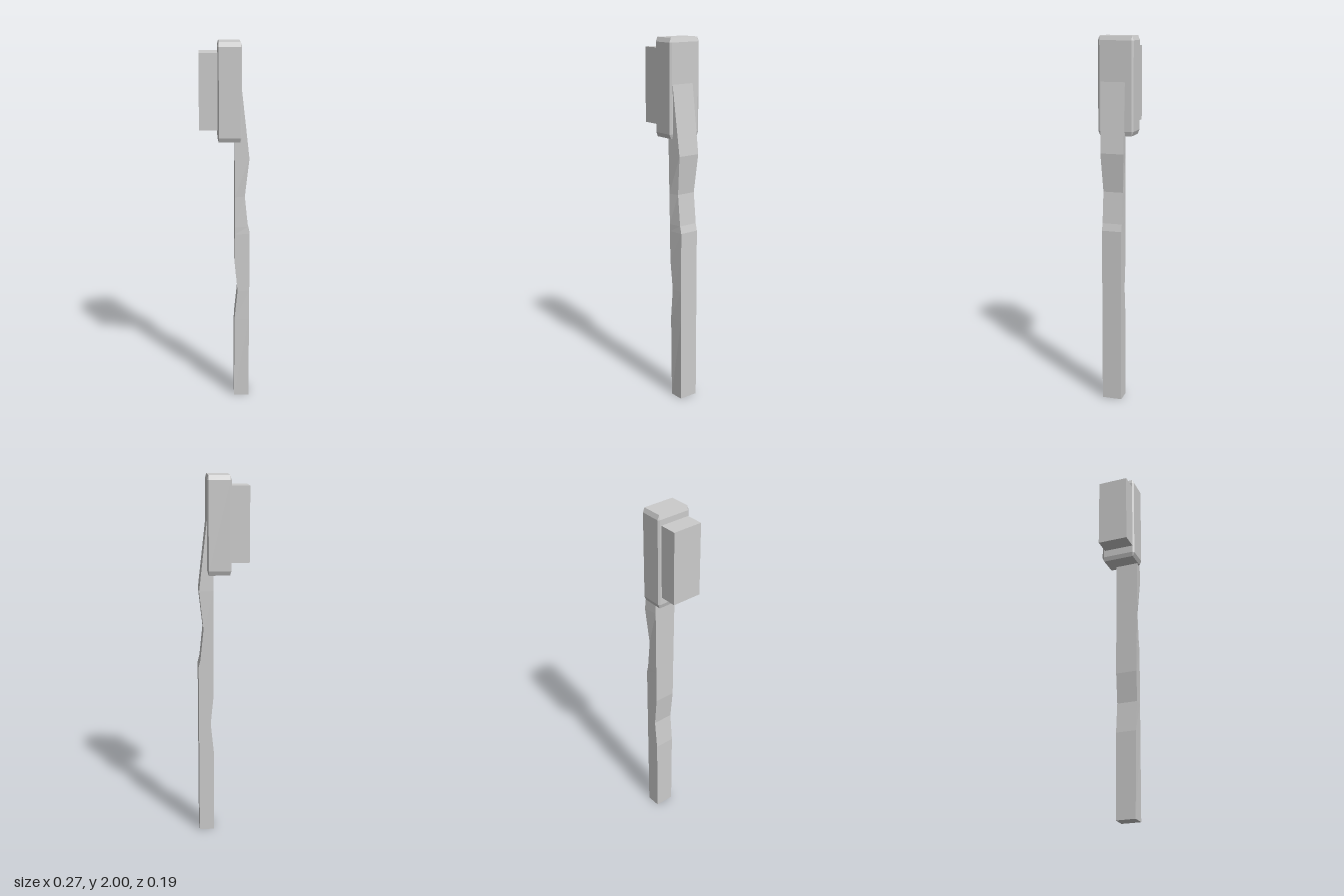
import * as THREE from 'three';
import { ConvexGeometry } from 'three/addons/geometries/ConvexGeometry.js';

const material = new THREE.MeshStandardMaterial({ color: 0xcccccc, flatShading: true });

function addPart(group, name, geometry, position = [0, 0, 0]) {
  const mesh = new THREE.Mesh(geometry, material);
  mesh.name = name;
  mesh.position.set(...position);
  group.add(mesh);
}

// Box with all edges cut; c is the cut along each axis
function chamferedBox(size, c) {
  const [x, y, z] = size.map((s) => s / 2);
  const points = [];
  for (const i of [-1, 1]) for (const j of [-1, 1]) for (const k of [-1, 1]) {
    points.push(
      new THREE.Vector3(i * x, j * (y - c[1]), k * (z - c[2])),
      new THREE.Vector3(i * (x - c[0]), j * y, k * (z - c[2])),
      new THREE.Vector3(i * (x - c[0]), j * (y - c[1]), k * z)
    );
  }
  return new ConvexGeometry(points);
}

// Four-sided sections joined into a closed bar
function sectionBar(sections) {
  const positions = [];
  const index = [];
  for (const [y, xIn, xOut, frontIn, frontOut, back] of sections) {
    positions.push(xIn, y, frontIn, xOut, y, frontOut, xOut, y, back, xIn, y, -0.048);
  }
  for (let s = 0; s < sections.length - 1; s++) {
    for (let i = 0; i < 4; i++) {
      const a = s * 4 + i, b = s * 4 + (i + 1) % 4;
      index.push(a, b, b + 4, a, b + 4, a + 4);
    }
  }
  const t = (sections.length - 1) * 4;
  index.push(0, 2, 1, 0, 3, 2, t, t + 1, t + 2, t, t + 2, t + 3);
  const indexed = new THREE.BufferGeometry();
  indexed.setAttribute('position', new THREE.Float32BufferAttribute(positions, 3));
  indexed.setIndex(index);
  const geometry = indexed.toNonIndexed();
  geometry.computeVertexNormals();
  return geometry;
}

export function createModel() {
  const group = new THREE.Group();
  group.name = 'toothbrush';

  // Handle with a thumb hollow outside and a finger hollow inside:
  // y, inner x, outer x, front z at inner and outer edge, back z
  addPart(group, 'handle', sectionBar([
    [0, 0.053, 0.135, 0.06, 0.06, -0.049],
    [0.47, 0.053, 0.135, 0.065, 0.06, -0.049],
    [0.64, 0.07, 0.135, 0.067, 0.06, -0.049],
    [0.81, 0.053, 0.135, 0.07, 0.06, -0.049],
    [0.97, 0.053, 0.135, 0.072, 0.06, -0.049],
    [1.01, 0.053, 0.125, 0.073, 0.06, -0.049],
    [1.18, 0.053, 0.107, 0.076, 0.06, -0.049],
    [1.39, 0.053, 0.13, 0.08, 0.069, -0.059],
    [1.78, 0.053, 0.085, 0.085, 0.081, -0.053],
  ]));

  // Head block
  addPart(group, 'head', chamferedBox([0.127, 0.52, 0.195], [0.007, 0.024, 0.01]), [0.0235, 1.74, -0.0015]);

  // Bristle block
  addPart(group, 'bristles', new THREE.BoxGeometry(0.1, 0.4, 0.168), [-0.087, 1.745, 0.003]);

  return group;
}
